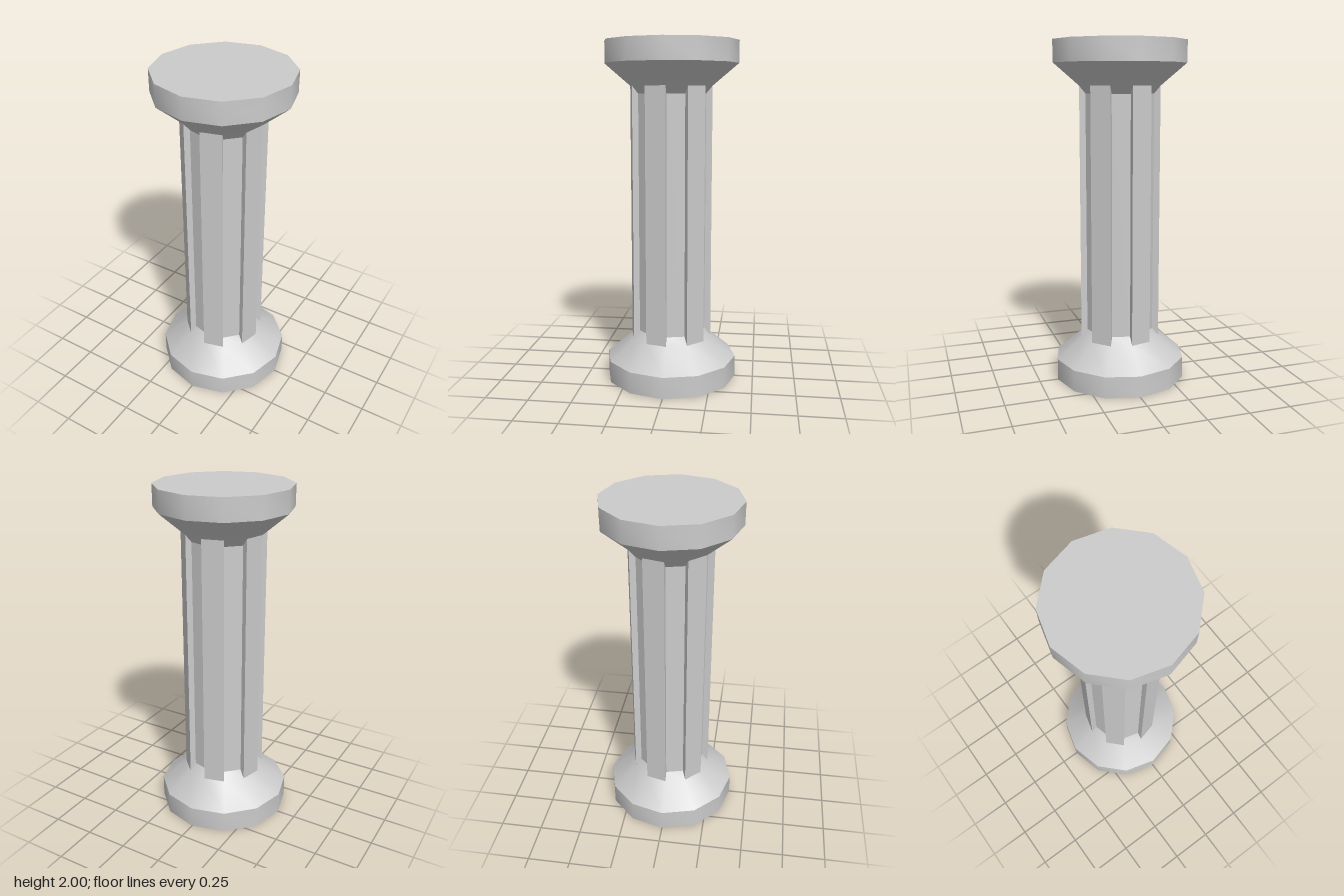
import * as THREE from 'three';
import { toCreasedNormals } from 'three/addons/utils/BufferGeometryUtils.js';

const SIDES = 12;
const HEIGHT = 2;
const RIB_RADIUS = 0.24;
const FLUTE_RADIUS = 0.203;
const RIB_END = 0.254;

// Fluted shaft outline: every second side of the 12-gon is sunk inwards
function shaftShape() {
  const points = [];
  for (let i = 0; i < SIDES; i++) {
    const radius = i % 2 ? FLUTE_RADIUS : RIB_RADIUS;
    for (const k of [i, i + 1]) {
      const a = (k / SIDES) * Math.PI * 2;
      points.push(new THREE.Vector2(radius * Math.cos(a), -radius * Math.sin(a)));
    }
  }
  return new THREE.Shape(points);
}

export function createModel() {
  const group = new THREE.Group();
  group.name = 'column';
  const material = new THREE.MeshStandardMaterial({ color: 0xcccccc });

  // Base: plinth with a cone narrowing to the shaft
  const profile = [
    [0, 0], [0.39, 0], [0.39, 0.127], [RIB_RADIUS, RIB_END], [FLUTE_RADIUS, 0.298],
  ].map(([r, y]) => new THREE.Vector2(r, y));
  const endGeometry = toCreasedNormals(new THREE.LatheGeometry(profile, SIDES), 0.65);
  const base = new THREE.Mesh(endGeometry, material);
  base.name = 'base';

  // Capital: the base turned upside down
  const capital = new THREE.Mesh(endGeometry, material);
  capital.name = 'capital';
  capital.rotation.x = Math.PI;
  capital.position.y = HEIGHT;

  // Shaft with six ribs and six flutes
  const shaftGeometry = new THREE.ExtrudeGeometry(shaftShape(), {
    depth: HEIGHT - 2 * RIB_END,
    bevelEnabled: false,
  });
  shaftGeometry.rotateX(-Math.PI / 2);
  const shaft = new THREE.Mesh(shaftGeometry, material);
  shaft.name = 'flutedShaft';
  shaft.position.y = RIB_END;

  group.add(base, shaft, capital);
  return group;
}
